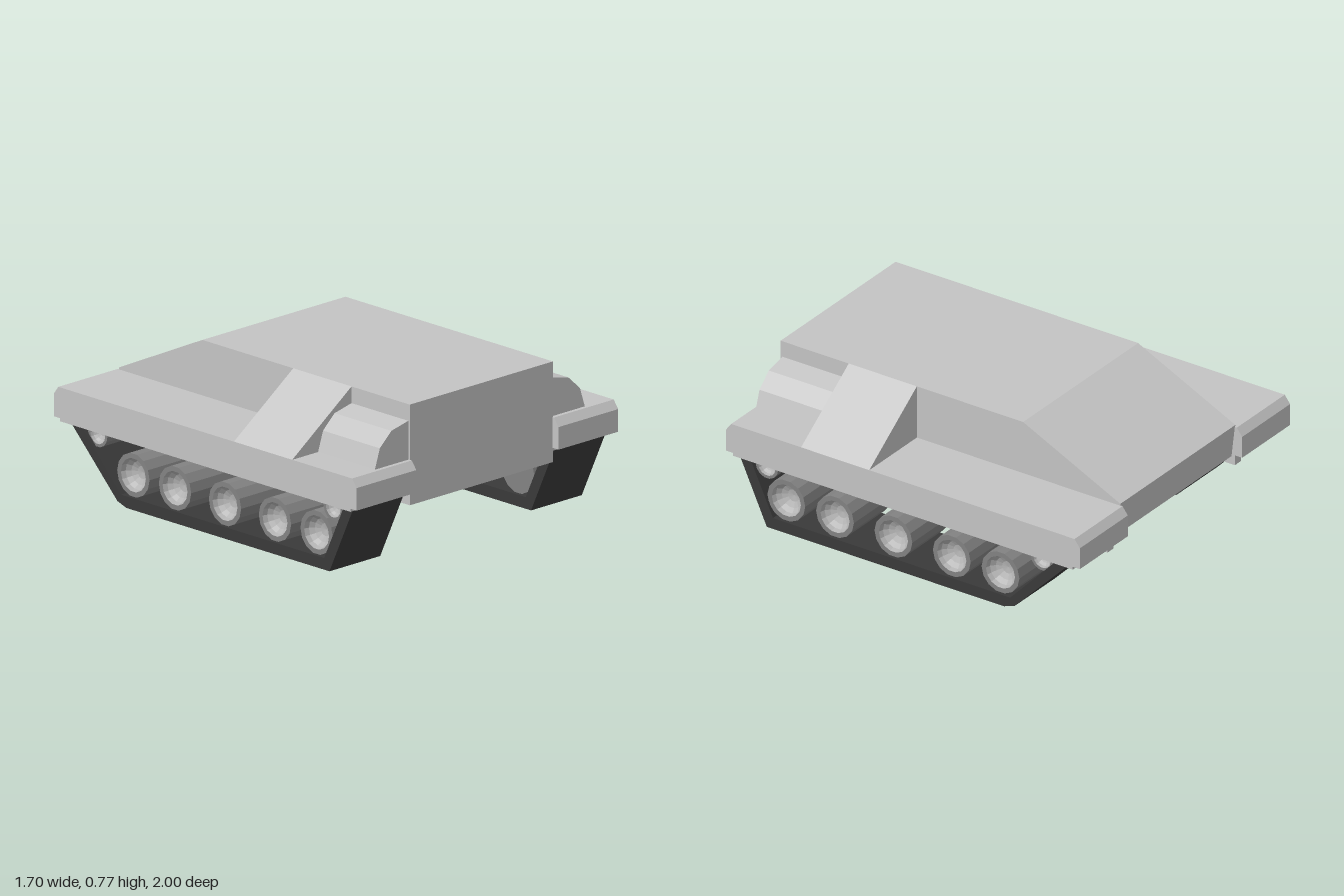
import * as THREE from 'three';

const hullGrey = new THREE.MeshStandardMaterial({ color: 0xc4c4c4 });
hullGrey.name = 'hull grey';
const rimGrey = new THREE.MeshStandardMaterial({ color: 0x828282 });
rimGrey.name = 'rim grey';
const hubGrey = new THREE.MeshStandardMaterial({ color: 0xb4b4b4, side: THREE.DoubleSide, flatShading: true });
hubGrey.name = 'hub grey';
const trackDark = new THREE.MeshStandardMaterial({ color: 0x3a3a3a });
trackDark.name = 'track dark';

function extrude(points, depth) {
  const shape = new THREE.Shape(points.map(([a, b]) => new THREE.Vector2(a, b)));
  return new THREE.ExtrudeGeometry(shape, { depth, bevelEnabled: false });
}

// Prism from a side profile of [z, y] points, running from x0 to x1
function sidePrism(name, points, x0, x1, material) {
  const geometry = extrude(points, x1 - x0).rotateY(-Math.PI / 2).translate(x1, 0, 0);
  const mesh = new THREE.Mesh(geometry, material);
  mesh.name = name;
  return mesh;
}

// Prism from a front profile of [x, y] points, running from z0 to z1
function frontPrism(name, points, z0, z1, material) {
  const mesh = new THREE.Mesh(extrude(points, z1 - z0).translate(0, 0, z0), material);
  mesh.name = name;
  return mesh;
}

// Road wheel with a raised rim and a dished hub, axle along y
function makeWheel(name, radius, halfWidth) {
  const wheel = new THREE.Group();
  wheel.name = name;
  const lathe = (points, segments) =>
    new THREE.LatheGeometry(points.map(([r, y]) => new THREE.Vector2(r, y)), segments);
  const rimGeometry = lathe([
    [0, -halfWidth], [radius, -halfWidth], [radius, halfWidth], [radius * 0.77, halfWidth],
  ], 14).toNonIndexed();
  rimGeometry.computeVertexNormals();
  const rim = new THREE.Mesh(rimGeometry, rimGrey);
  rim.name = 'wheelRim';
  const dish = [];
  for (let i = 0; i <= 4; i++) {
    const a = (i / 4) * Math.PI / 2;
    dish.push([radius * 0.77 * Math.cos(a), halfWidth - radius * 0.6 * Math.sin(a)]);
  }
  const hub = new THREE.Mesh(lathe(dish, 14), hubGrey);
  hub.name = 'wheelHub';
  wheel.add(rim, hub);
  return wheel;
}

export function createModel() {
  const model = new THREE.Group();
  model.name = 'trackedVehicle';

  // Central hull with sloped rear deck and raised rear underside
  model.add(sidePrism('hull', [
    [0.96, 0.28], [0.96, 0.77], [-0.41, 0.77], [-0.96, 0.51],
    [-0.94, 0.34], [-0.62, 0.33], [-0.43, 0.28],
  ], -0.465, 0.465, hullGrey));

  for (const s of [1, -1]) {
    const side = new THREE.Group();
    side.name = s > 0 ? 'leftSide' : 'rightSide';
    const across = (a, b) => (s > 0 ? [a, b] : [-b, -a]);

    // Fender slab with bevelled ends
    side.add(sidePrism('fender', [
      [0.96, 0.335], [0.96, 0.35], [1, 0.35], [1, 0.46], [0.97, 0.5],
      [-0.97, 0.5], [-1, 0.46], [-1, 0.35], [-0.96, 0.35], [-0.96, 0.335],
    ], ...across(0.462, 0.85), hullGrey));

    // Sloped housing and rounded casing on the fender
    side.add(frontPrism('sideWedge',
      [[s * 0.46, 0.5], [s * 0.85, 0.5], [s * 0.465, 0.77]], 0.19, 0.575, hullGrey));
    side.add(frontPrism('sideCasing', [
      [s * 0.46, 0.5], [s * 0.682, 0.5], [s * 0.65, 0.597], [s * 0.575, 0.665], [s * 0.46, 0.69],
    ], 0.57, 0.95, hullGrey));

    // Small rear bracket under the fender
    side.add(sidePrism('rearBracket',
      [[-0.87, 0.28], [-0.87, 0.34], [-0.94, 0.34], [-0.94, 0.28]],
      ...across(0.49, 0.54), hullGrey));

    // Open track band
    side.add(sidePrism('track', [
      [0.95, 0.345], [0.79, 0], [-0.55, 0], [-0.61, 0.02], [-0.93, 0.345],
      [-0.86, 0.345], [-0.585, 0.057], [0.755, 0.057], [0.89, 0.345],
    ], ...across(0.49, 0.82), trackDark));

    // Road wheels and the small end rollers
    const wheels = [0.69, 0.415, 0.085, -0.245, -0.52].map((z) => ['roadWheel', z, 0.163, 0.107]);
    wheels.push(['endRoller', 0.8, 0.31, 0.064], ['endRoller', -0.755, 0.31, 0.064]);
    for (const [name, z, y, radius] of wheels) {
      const wheel = makeWheel(name, radius, 0.15);
      wheel.rotation.z = -s * Math.PI / 2;
      wheel.position.set(s * 0.655, y, z);
      side.add(wheel);
    }
    model.add(side);
  }
  return model;
}
